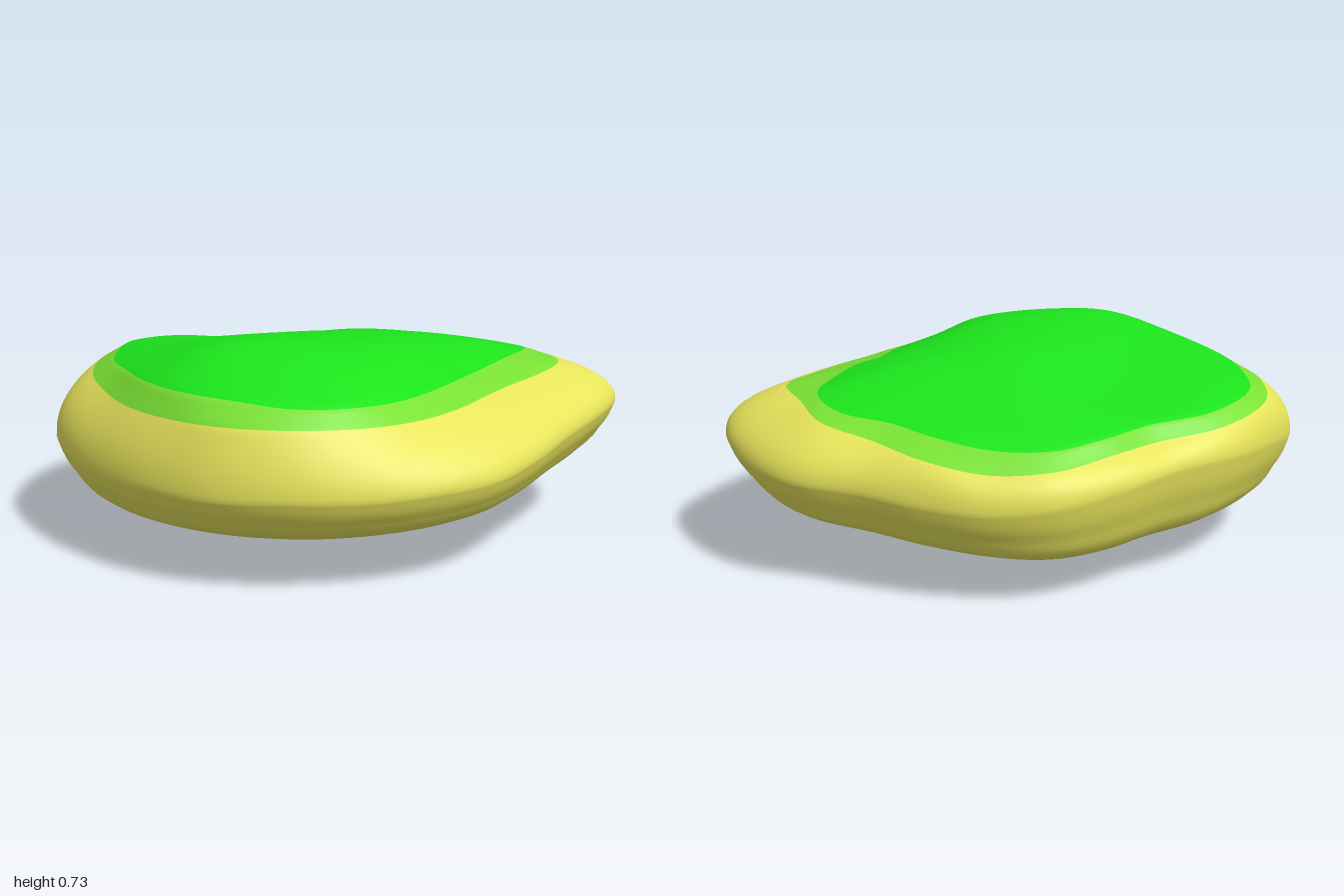
import * as THREE from 'three';

// Values around the island, evenly spaced from +x towards +z
const OUTLINE = [.985, 1.02, 1.02, .93, .87, .87, .895, .91, .925, .95, .97, .975, .99, 1.025, 1.06, 1.05, 1, .935, .86, .87, .89, .88, .87, .89];
const EDGE = [.82, .79, .8, .71, .65, .64, .68, .73, .81, .87, .9, .89, .89, .89, .92, .94, .955, .885, .78, .79, .83, .82, .81, .78];
const GRASS = [.74, .73, .62, .55, .51, .52, .56, .63, .75, .81, .82, .83, .82, .81, .84, .865, .9, .84, .74, .755, .77, .745, .71, .69];
const RIM_Y = [.39, .41, .44, .43, .41, .38, .35, .34, .33, .33, .32, .32, .32, .33, .35, .38, .42, .43, .42, .4, .37, .35, .36, .38];
const EDGE_Y = [.56, .58, .585, .575, .57, .56, .55, .54, .545, .55, .55, .545, .545, .55, .56, .57, .56, .53, .51, .5, .48, .47, .5, .53];
const GRASS_Y = [.58, .6, .61, .61, .6, .6, .595, .59, .6, .605, .62, .625, .625, .62, .61, .61, .6, .575, .56, .55, .53, .53, .55, .57];
const SHELF_Y = [.225, .275, .245, .2, .175, .165, .15, .16, .18, .16, .15, .18];
const BELLY_Y = [.215, .215, .165, .11, .085, .07, .06, .06, .07, .08, .11, .17];
const SHOULDER = [.55, .6, .45, .4, .48, .6, .6, .65];
const DOME = [2, 2.2, 3, 3.5, 4.5, 3, 2, 2];

// Humps and hollows of the meadow: x, z, height, width
const RELIEF = [[-.4, .15, .045, .4], [-.65, .05, .03, .2], [-.1, -.5, -.045, .28], [0, .5, -.02, .15]];
const KEEL = { x: -.13, z: -.05 };
const SEGMENTS = 120;
const TOP = 20, BAND = 4, SIDE = 12, UNDER = 28;

// Smooth periodic lookup, u in 0..1
function around(table, u) {
  const n = table.length, f = u * n, i = Math.floor(f), t = f - i;
  const [a, b, c, d] = [-1, 0, 1, 2].map(k => table[(i + k + n) % n]);
  return b + .5 * t * (c - a + t * (2 * a - 5 * b + 4 * c - d + t * (3 * (b - c) + d - a)));
}

function relief(x, z) {
  return RELIEF.reduce((sum, [cx, cz, h, w]) => sum + h * Math.exp(-((x - cx) ** 2 + (z - cz) ** 2) / (w * w)), 0);
}

// Cross-section from the top centre over the rim to the keel, as [x, y, z] points
function crossSection(u) {
  const cos = Math.cos(u * Math.PI * 2), sin = Math.sin(u * Math.PI * 2);
  const R = around(OUTLINE, u), e = around(EDGE, u), g = around(GRASS, u);
  const yR = around(RIM_Y, u), yE = around(EDGE_Y, u), yG = around(GRASS_Y, u);
  const yS = around(SHELF_Y, u), yB = around(BELLY_Y, u), dome = around(DOME, u);
  const points = [];

  // Domed grass
  for (let i = 0; i <= TOP; i++) {
    const s = i / TOP, x = g * s * cos, z = g * s * sin;
    points.push([x, yG + (.69 - yG) * (1 - s ** dome) + relief(x, z) * (1 - s ** 4), z]);
  }
  // Pale grass band
  for (let i = 1; i <= BAND; i++) {
    const s = i / BAND, r = g + (e - g) * s;
    points.push([r * cos, yG + (yE - yG) * s, r * sin]);
  }
  // Rounded shoulder
  const shoulder = new THREE.QuadraticBezierCurve(
    new THREE.Vector2(e, yE), new THREE.Vector2(R, yR + around(SHOULDER, u) * (yE - yR)), new THREE.Vector2(R, yR));
  for (let i = 1; i <= SIDE; i++) {
    const p = shoulder.getPoint(i / SIDE);
    points.push([p.x * cos, p.y, p.x * sin]);
  }
  // Underside, drawn in to the off-centre keel
  const under = new THREE.SplineCurve([
    [1, yR], [.96, yR * .52 + yS * .48], [.85, yS], [.42, yB], [.15, yB * .13], [0, 0],
  ].map(p => new THREE.Vector2(...p)));
  for (let i = 1; i <= UNDER; i++) {
    const p = under.getPoint(i / UNDER), pull = (1 - p.x) ** 2;
    points.push([R * p.x * cos + KEEL.x * pull, Math.max(0, p.y), R * p.x * sin + KEEL.z * pull]);
  }
  return points;
}

function islandGeometry() {
  const positions = [], index = [];
  const rings = TOP + BAND + SIDE + UNDER;
  for (let j = 0; j < SEGMENTS; j++) positions.push(...crossSection(j / SEGMENTS).flat());
  const at = (i, j) => (j % SEGMENTS) * (rings + 1) + i;

  // Ring by ring, so each colour is one run of faces
  const geometry = new THREE.BufferGeometry();
  let start = 0;
  [[0, TOP], [TOP, TOP + BAND], [TOP + BAND, rings]].forEach(([from, to], material) => {
    for (let i = from; i < to; i++) {
      for (let j = 0; j < SEGMENTS; j++) {
        const a = at(i, j), b = at(i, j + 1), c = at(i + 1, j), d = at(i + 1, j + 1);
        if (i === 0) index.push(a, d, c);
        else if (i === rings - 1) index.push(a, b, c);
        else index.push(a, b, c, b, d, c);
      }
    }
    geometry.addGroup(start, index.length - start, material);
    start = index.length;
  });
  geometry.setAttribute('position', new THREE.Float32BufferAttribute(positions, 3));
  geometry.setIndex(index);
  geometry.computeVertexNormals();
  // One shared normal at each pole
  for (let j = 0; j < SEGMENTS; j++) {
    geometry.attributes.normal.setXYZ(at(0, j), 0, 1, 0);
    geometry.attributes.normal.setXYZ(at(rings, j), 0, -1, 0);
  }
  return geometry;
}

export function createModel() {
  const colour = (name, hex) => {
    const material = new THREE.MeshStandardMaterial({ color: hex });
    material.name = name;
    return material;
  };
  const island = new THREE.Mesh(islandGeometry(), [
    colour('grass green', 0x1ce41c),
    colour('pale grass green', 0x7ae234),
    colour('sand yellow', 0xe8e55c),
  ]);
  island.name = 'island';
  const group = new THREE.Group();
  group.name = 'floatingIsland';
  group.add(island);
  return group;
}
